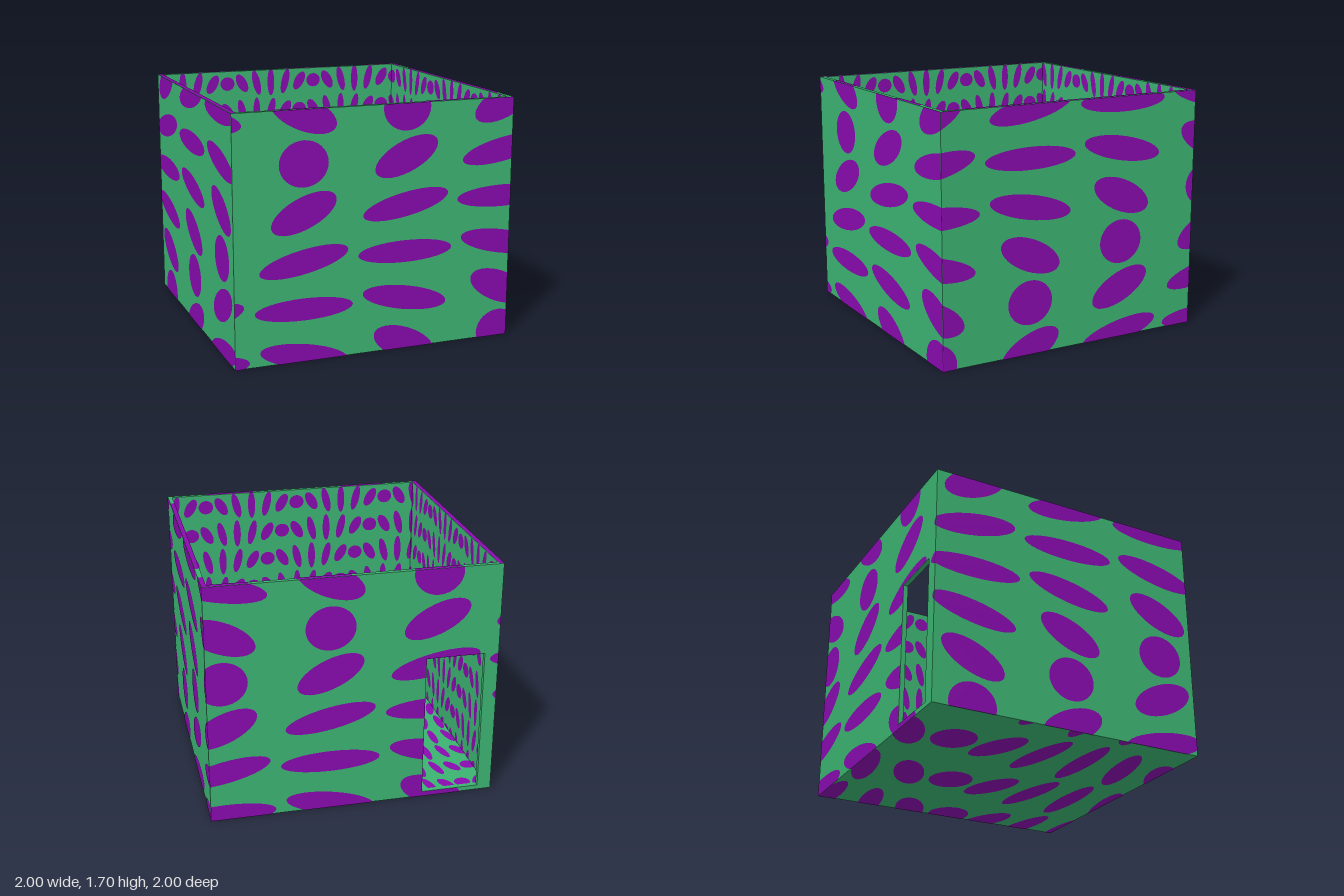
import * as THREE from 'three';

const green = new THREE.MeshStandardMaterial({ color: 0x3cb371 });
green.name = 'sea green';
const purple = new THREE.MeshStandardMaterial({ color: 0x880bae });
purple.name = 'purple';

const W = 0.998;            // half width of the shell
const T = 0.035;            // wall and floor thickness
const I = 0.965;            // half width of the inside
const H = 1.698;            // wall height
const LIFT = 0.002;         // how far the painted spots stand off
const door = { x0: -0.9, x1: -0.49, y0: T, y1: 1.06 };

// Clip a convex polygon of [u, v] points to a rectangle [u0, v0, u1, v1]
function clip(points, [u0, v0, u1, v1]) {
  const edges = [[0, 1, u0], [0, -1, u1], [1, 1, v0], [1, -1, v1]];
  for (const [axis, sign, limit] of edges) {
    const out = [];
    points.forEach((p, i) => {
      const q = points[(i + 1) % points.length];
      const dp = sign * (p[axis] - limit), dq = sign * (q[axis] - limit);
      if (dp >= 0) out.push(p);
      if (dp * dq < 0) {
        const t = dp / (dp - dq);
        out.push([p[0] + (q[0] - p[0]) * t, p[1] + (q[1] - p[1]) * t]);
      }
    });
    points = out;
  }
  return points;
}

// Flat mesh of convex polygons lying on a plane with axes u, v
function plates(name, polygons, origin, u, v) {
  const U = new THREE.Vector3(...u), V = new THREE.Vector3(...v);
  const O = new THREE.Vector3(...origin).addScaledVector(U.clone().cross(V), LIFT);
  const positions = [];
  const put = (p) => {
    const q = O.clone().addScaledVector(U, p[0]).addScaledVector(V, p[1]);
    positions.push(q.x, q.y, q.z);
  };
  for (const poly of polygons) {
    for (let i = 1; i + 1 < poly.length; i++) [poly[0], poly[i], poly[i + 1]].forEach(put);
  }
  const geo = new THREE.BufferGeometry();
  geo.setAttribute('position', new THREE.Float32BufferAttribute(positions, 3));
  geo.computeVertexNormals();
  const mesh = new THREE.Mesh(geo, purple);
  mesh.name = name;
  return mesh;
}

// Grid of ellipses, each turned 30 degrees from its neighbour, clipped to the rectangles
function spots(rects, { u0, du, v0, dv, turn = 0 }) {
  const polygons = [];
  for (const rect of rects) {
    const cMin = Math.floor((rect[0] - u0) / du), cMax = Math.ceil((rect[2] - u0) / du);
    const rMin = Math.floor((rect[1] - v0) / dv), rMax = Math.ceil((rect[3] - v0) / dv);
    for (let c = cMin; c <= cMax; c++) {
      for (let r = rMin; r <= rMax; r++) {
        const a = (r - c + turn) * Math.PI / 6, ellipse = [];
        for (let i = 0; i < 32; i++) {
          const f = i / 32 * Math.PI * 2;
          const x = 0.475 * Math.cos(f), y = 0.235 * Math.sin(f);
          ellipse.push([
            u0 + (c + x * Math.cos(a) - y * Math.sin(a)) * du,
            v0 + (r + x * Math.sin(a) + y * Math.cos(a)) * dv,
          ]);
        }
        const poly = clip(ellipse, rect);
        if (poly.length > 2) polygons.push(poly);
      }
    }
  }
  return polygons;
}

// Wall rectangle with the doorway left out; d0..d1 is the doorway along u
function aroundDoor(half, bottom, d0, d1) {
  return [
    [-half, bottom, d0, H], [d1, bottom, half, H],
    [d0, door.y1, d1, H], [d0, bottom, d1, door.y0],
  ].filter((r) => r[3] > r[1]);
}

export function createModel() {
  const model = new THREE.Group();
  model.name = 'room';

  const box = (name, w, h, d, x, y, z) => {
    const mesh = new THREE.Mesh(new THREE.BoxGeometry(w, h, d), green);
    mesh.position.set(x, y, z);
    mesh.name = name;
    model.add(mesh);
  };

  // Floor and solid walls
  const mid = (T + H) / 2, t = W - I, c = (W + I) / 2;
  box('floor', 2 * W, T - LIFT, 2 * W, 0, (T + LIFT) / 2, 0);
  box('frontWall', 2 * W, H - T, t, 0, mid, c);
  box('leftWall', t, H - T, 2 * I, c, mid, 0);
  box('rightWall', t, H - T, 2 * I, -c, mid, 0);

  // Back wall with the doorway
  const wall = new THREE.Shape([[-W, T], [door.x0, T], [door.x0, door.y1], [door.x1, door.y1],
    [door.x1, T], [W, T], [W, H], [-W, H]].map((p) => new THREE.Vector2(...p)));
  const back = new THREE.Mesh(new THREE.ExtrudeGeometry(wall, { depth: t, bevelEnabled: false }), green);
  back.position.z = -W;
  back.name = 'backWall';
  model.add(back);

  // Wall spots: large outside and small inside, running on around the corners
  const sides = [
    { name: 'front', out: [0, 0, 1], u: [1, 0, 0], outer: 0, inner: 2 },
    { name: 'left', out: [1, 0, 0], u: [0, 0, -1], outer: 1, inner: 1 },
    { name: 'back', out: [0, 0, -1], u: [-1, 0, 0], outer: 2, inner: 0 },
    { name: 'right', out: [-1, 0, 0], u: [0, 0, 1], outer: 3, inner: 3 },
  ];
  for (const s of sides) {
    const isBack = s.name === 'back';
    const outerRects = isBack ? aroundDoor(W, 0, -door.x1, -door.x0) : [[-W, 0, W, H]];
    const innerRects = isBack ? aroundDoor(I, T, door.x0, door.x1) : [[-I, T, I, H]];
    model.add(plates(s.name + 'OuterSpots',
      spots(outerRects, { u0: -0.518 - 2 * s.outer, du: 0.725, v0: 0.038, dv: 0.3265, turn: -1 }),
      s.out.map((n) => n * W), s.u, [0, 1, 0]));
    model.add(plates(s.name + 'InnerSpots',
      spots(innerRects, { u0: -0.45 - 2 * I * s.inner, du: 0.12, v0: 1.6, dv: 0.2275 }),
      s.out.map((n) => n * I), s.u.map((n) => -n), [0, 1, 0]));
  }

  // Floor spots, inside and underneath
  model.add(plates('floorSpots',
    spots([[-I, -I, I, I]], { u0: -0.21, du: 0.12, v0: 0.705, dv: 0.2275 }),
    [0, T, 0], [1, 0, 0], [0, 0, -1]));
  model.add(plates('undersideSpots',
    spots([[-W, -W, W, W]], { u0: -0.518, du: 0.725, v0: 0.04, dv: 0.3265, turn: -1 }),
    [0, LIFT, 0], [1, 0, 0], [0, 0, 1]));

  // Painted stretches along the top rim, as [x0, -z0, x1, -z1]
  const rim = [
    [-W, -W, -I, W],
    [I, -0.81, W, 0.66], [I, 0.82, W, W],
    [-0.71, I, -0.39, W], [0.03, I, 0.39, W], [0.7, I, I, W],
    [-0.71, -W, -0.37, -I], [0.33, -W, 0.7, -I],
  ].map(([a, b, d, e]) => [[a, b], [d, b], [d, e], [a, e]]);
  model.add(plates('rimStripes', rim, [0, H, 0], [1, 0, 0], [0, 0, -1]));

  return model;
}
